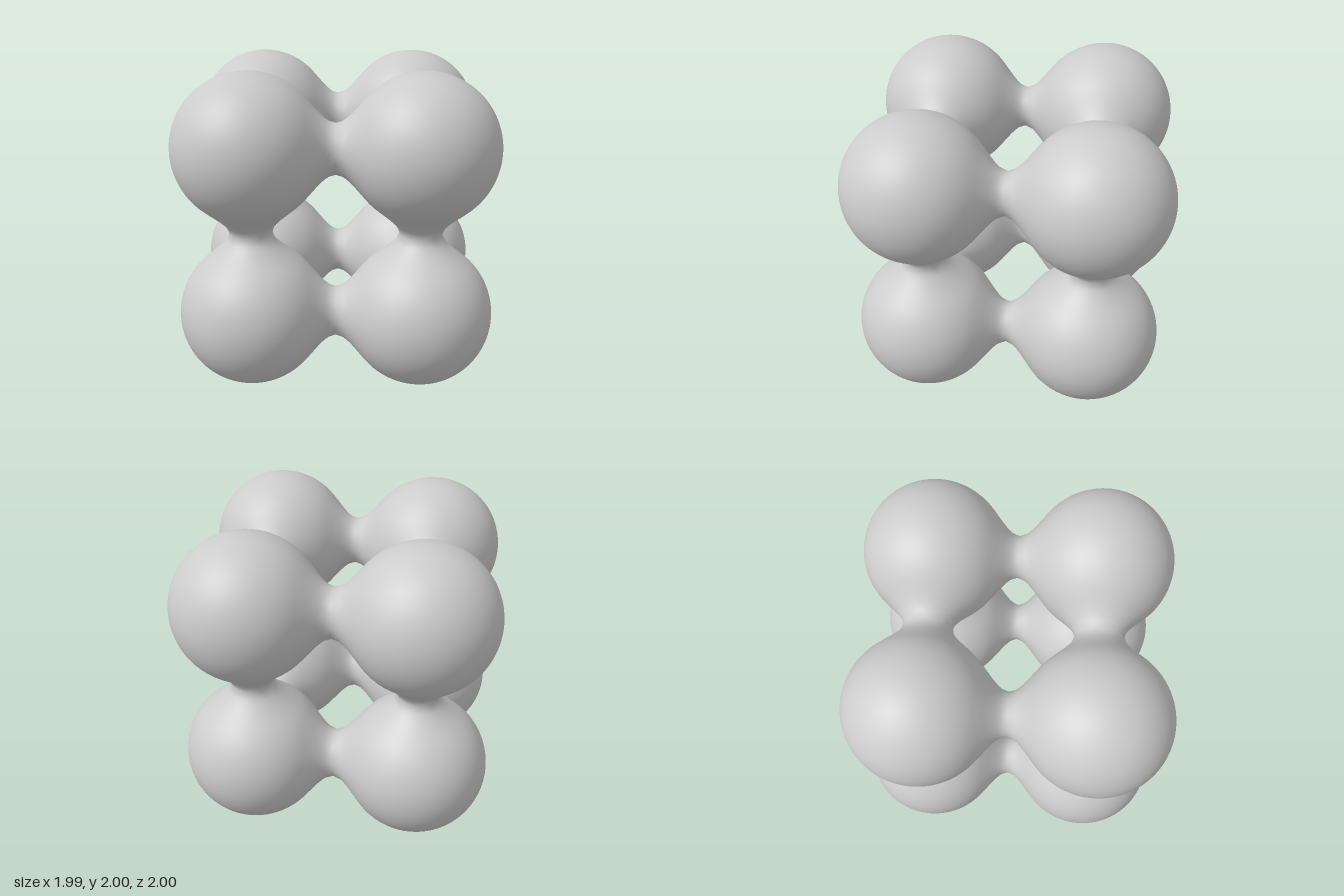
import * as THREE from 'three';

const CENTRE = [0.53, 0.536, 0.536]; // ball offsets from the middle along x, y, z
const RADIUS = 0.464;
const LEVEL = 0.3; // field strength at the skin
const REACH2 = RADIUS ** 2 / (1 - Math.cbrt(LEVEL)); // squared reach of one ball's field
const SIGNS = [1, -1];
const AROUND = 56, ROWS = 15;

const CORNERS = [];
for (const x of SIGNS) for (const y of SIGNS) for (const z of SIGNS) CORNERS.push([x, y, z]);
const BALLS = CORNERS.map((s) => s.map((v, i) => v * CENTRE[i]));

// Soft blending field: sum of (1 - d²/R²)³; optionally gathers the outward normal
function field(p, normal) {
  let sum = 0;
  for (const b of BALLS) {
    const d = [p[0] - b[0], p[1] - b[1], p[2] - b[2]];
    const k = 1 - (d[0] ** 2 + d[1] ** 2 + d[2] ** 2) / REACH2;
    if (k <= 0) continue;
    sum += k ** 3;
    if (normal) d.forEach((v, i) => { normal[i] += v * k * k; });
  }
  return sum;
}

// Walk from the ball centre along dir to the skin, never past the mid planes
function skinPoint(dir) {
  let lo = 0, hi = 0.9;
  dir.forEach((v, i) => { if (v < 0) hi = Math.min(hi, -CENTRE[i] / v); });
  const at = (t) => dir.map((v, i) => CENTRE[i] + v * t);
  for (let i = 0; i < 32; i++) {
    const mid = (lo + hi) / 2;
    if (field(at(mid)) > LEVEL) lo = mid; else hi = mid;
  }
  return at(hi);
}

// One ball with three open half-necks, made of six cube-face patches
function lobeGeometry() {
  const positions = [], normals = [], index = [];
  for (let a = 0; a < 3; a++) for (const side of SIGNS) {
    const b = (a + 1) % 3, c = (a + 2) % 3;
    const neck = Math.sqrt(REACH2 * (1 - Math.cbrt(LEVEL / 2)) - CENTRE[a] ** 2);
    const hole = side < 0 ? neck / CENTRE[a] : 0; // inner faces open into a neck
    const start = positions.length / 3;
    for (let r = 0; r <= ROWS; r++) for (let s = 0; s <= AROUND; s++) {
      const angle = (s / AROUND) * Math.PI * 2;
      const u = Math.cos(angle), v = Math.sin(angle);
      const edge = 1 / Math.max(Math.abs(u), Math.abs(v));
      const k = hole + (edge - hole) * (r / ROWS);
      const dir = [0, 0, 0];
      dir[a] = side; dir[b] = u * k; dir[c] = v * k;
      const len = Math.hypot(...dir);
      const p = skinPoint(dir.map((d) => d / len));
      const n = [0, 0, 0];
      field(p, n);
      const nl = Math.hypot(...n);
      positions.push(...p);
      normals.push(...n.map((d) => d / nl));
      if (r === ROWS || s === AROUND) continue;
      const i = start + r * (AROUND + 1) + s, j = i + AROUND + 1;
      if (side > 0) index.push(i, j, j + 1, i, j + 1, i + 1);
      else index.push(i, j + 1, j, i, i + 1, j + 1);
    }
  }
  const geo = new THREE.BufferGeometry();
  geo.setAttribute('position', new THREE.Float32BufferAttribute(positions, 3));
  geo.setAttribute('normal', new THREE.Float32BufferAttribute(normals, 3));
  geo.setIndex(index);
  return geo;
}

// Mirror into another corner, keeping the faces outward
function mirrored(geo, [x, y, z]) {
  const copy = geo.clone().scale(x, y, z);
  if (x * y * z < 0) copy.setIndex(Array.from(geo.index.array).reverse());
  return copy;
}

export function createModel() {
  const group = new THREE.Group();
  group.name = 'joinedBalls';
  const material = new THREE.MeshStandardMaterial({ color: 0xcccccc });
  const base = lobeGeometry();
  for (const s of CORNERS) {
    const mesh = new THREE.Mesh(mirrored(base, s), material);
    mesh.name = (s[1] > 0 ? 'upper' : 'lower') + (s[2] > 0 ? 'Front' : 'Back') + (s[0] > 0 ? 'Left' : 'Right') + 'Ball';
    mesh.position.y = 1;
    group.add(mesh);
  }
  return group;
}
